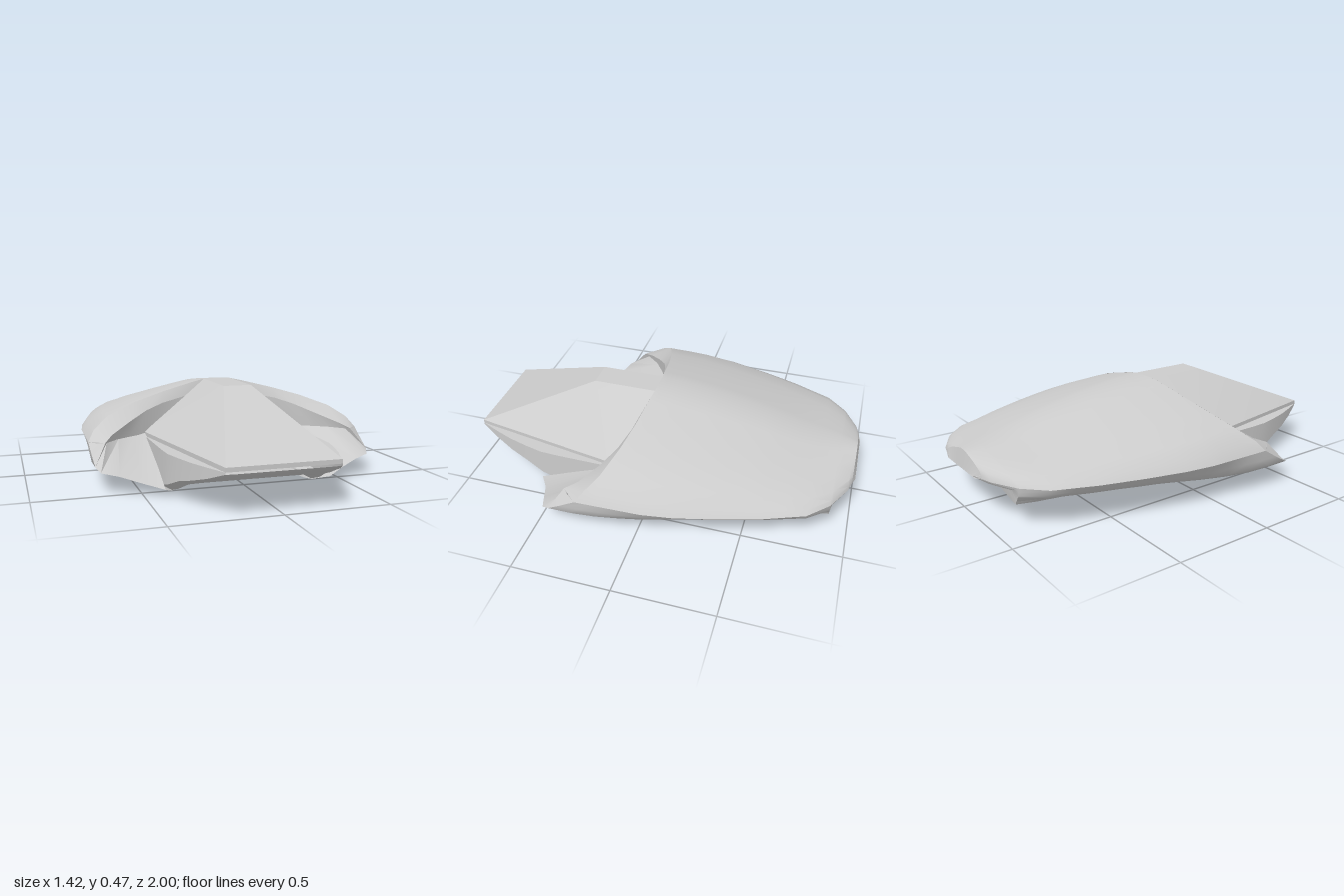
import * as THREE from 'three';
import { toCreasedNormals } from 'three/addons/utils/BufferGeometryUtils.js';
import { ConvexGeometry } from 'three/addons/geometries/ConvexGeometry.js';

const material = new THREE.MeshStandardMaterial({ color: 0xcccccc, side: THREE.DoubleSide });
const { lerp, clamp } = THREE.MathUtils;

// Piecewise-linear lookup in [key, value] pairs with falling keys
function lookup(table, key) {
  if (key >= table[0][0]) return table[0][1];
  for (let i = 1; i < table.length; i++) {
    const [k0, v0] = table[i - 1], [k1, v1] = table[i];
    if (key >= k1) return lerp(v0, v1, (k0 - key) / (k0 - k1));
  }
  return table[table.length - 1][1];
}

// Skin over rows of equally many points
function loft(rows, crease, flip = false) {
  const n = rows[0].length, index = [];
  for (let i = 0; i < rows.length - 1; i++) {
    for (let j = 0; j < n - 1; j++) {
      const a = i * n + j, b = a + 1, c = a + n, d = c + 1;
      if (flip) index.push(a, c, b, b, c, d);
      else index.push(a, b, c, b, d, c);
    }
  }
  const g = new THREE.BufferGeometry();
  g.setAttribute('position', new THREE.Float32BufferAttribute(rows.flat(2), 3));
  g.setIndex(index);
  return toCreasedNormals(g, crease);
}

// Half profile from the left edge to the centre line, continued to the right
const acrossX = (half) => [...half, ...half.slice(0, -1).reverse().map(([x, ...r]) => [-x, ...r])];

// Hull plan and side outline along z
const SEAM = 0.21;
const halfWidth = [[0.27, 0.71], [-0.1, 0.7], [-0.2, 0.68], [-0.4, 0.63], [-0.6, 0.57], [-0.8, 0.49],
  [-0.9, 0.39], [-0.97, 0.26], [-1, 0.15]];
const roofHeight = [[0.07, 0.47], [-0.1, 0.455], [-0.3, 0.425], [-0.5, 0.385], [-0.7, 0.335],
  [-0.8, 0.312], [-0.9, 0.3], [-0.98, 0.29]];
const bellyDepth = [[0.1, 1], [-0.2, 0.81], [-0.5, 0.62], [-0.8, 0.48], [-0.9, 0.43], [-0.91, 0.13], [-1, 0.04]];
const stations = [-0.05, -0.2, -0.3, -0.4, -0.5, -0.6, -0.7, -0.8, -0.9, -0.91, -0.97];

// Profiles: x, y, z of the front edge; the belly adds x of the rounder rear section
const roofProfile = [[0.71, 0.21, 0.28], [0.677, 0.26, 0.24], [0.6, 0.315, 0.18], [0.45, 0.372, 0.13],
  [0.3, 0.415, 0.1], [0.14, 0.455, 0.08], [0.07, 0.47, 0.07], [0, 0.47, 0.07]];
const bellyProfile = [[0.71, 0.21, 0.28, 0.71], [0.705, 0.16, 0.36, 0.67], [0.7, 0.12, 0.43, 0.63],
  [0.68, 0.1, 0.47, 0.59], [0.6, 0.085, 0.5, 0.53], [0.5, 0.055, 0.54, 0.46], [0.41, 0.035, 0.6, 0.4],
  [0.36, 0, 0.5, 0.36], [0.32, 0.01, 0.5, 0.32], [0.23, 0.055, 0.55, 0.23], [0.18, 0.07, 0.6, 0.18],
  [0, 0.07, 0.6, 0]];

function placeRoof([x, y], z) {
  return [x * lookup(halfWidth, z) / 0.71, SEAM + (y - SEAM) * (lookup(roofHeight, z) - SEAM) / 0.26, z];
}

// The keels run straight back while the flanks narrow with the plan
function placeBelly([x, y, , rearX], z) {
  const w = lookup(halfWidth, z), keel = Math.min(0.36, 0.9 * w);
  const ax = lerp(x, rearX, clamp((0.25 - z) / 0.5, 0, 1));
  const px = ax <= 0.36 ? ax * keel / 0.36 : keel + (ax - 0.36) * (w - keel) / 0.35;
  return [px, SEAM + (y - SEAM) * lookup(bellyDepth, z), z];
}

// Rows run from each point's own front edge to common stations towards the tail
function hullRows(profile, place, tailZ) {
  const row = (zOf) => acrossX(profile.map((p) => place(p, zOf(p))));
  const rows = [];
  for (let i = 0; i < 4; i++) rows.push(row((p) => lerp(p[2], stations[0], i / 4)));
  for (const z of [...stations, tailZ]) rows.push(row(() => z));
  return rows;
}

export function createModel() {
  const model = new THREE.Group();
  const add = (name, geometry) => {
    const mesh = new THREE.Mesh(geometry, material);
    mesh.name = name;
    model.add(mesh);
  };

  // Domed upper shell and twin-keeled belly
  const roof = hullRows(roofProfile, placeRoof, -0.985);
  const belly = hullRows(bellyProfile, placeBelly, -1);
  add('upperShell', loft(roof, 0.6));
  add('belly', loft(belly, 0.7, true));

  // Raked tail closing the shell
  const tailTop = roof[roof.length - 1];
  add('tailPlate', loft([tailTop, tailTop.map(([x]) => [x * 0.74, 0.2, -1])], 0.3));

  // Faceted cockpit on a thin sill
  const cockpit = [];
  for (const s of [1, -1]) {
    for (const y of [0.2, 0.22]) {
      for (const [x, z] of [[0.26, 1], [0.41, 0.15], [0.41, 0.07]]) cockpit.push(new THREE.Vector3(s * x, y, z));
    }
    cockpit.push(new THREE.Vector3(s * 0.07, 0.47, 0.4), new THREE.Vector3(s * 0.07, 0.47, 0.07));
  }
  add('cockpit', toCreasedNormals(new ConvexGeometry(cockpit), 0.25));

  // Nose underside: z, half width, floor height, keel height
  const nose = [[1, 0.26, 0.19, 0.19], [0.9, 0.305, 0.14, 0.145], [0.8, 0.345, 0.11, 0.11],
    [0.7, 0.375, 0.09, 0.08], [0.6, 0.4, 0.08, 0.035], [0.5, 0.405, 0.075, 0.003], [0.1, 0.41, 0.075, 0.015]];
  add('noseUnderside', loft(nose.map(([z, w, floor, keel]) => acrossX([
    [0, 0.2, z], [w, 0.2, z], [w, lerp(keel, 0.2, 0.15), z], [w * 0.88, keel, z],
    [w * 0.56, floor, z], [0, floor, z],
  ])), 0.45, true));

  // Intake on each side: rim, back wall and sloping floor
  const rimInner = [[0.64, 0.217, 0.36], [0.6, 0.24, 0.3], [0.5, 0.285, 0.22], [0.4, 0.33, 0.16],
    [0.31, 0.36, 0.13], [0.17, 0.39, 0.1], [0.07, 0.47, 0.07]];
  const wallFoot = [[0.63, 0.21, 0.33], [0.57, 0.21, 0.26], [0.5, 0.21, 0.21], [0.45, 0.21, 0.18],
    [0.4, 0.215, 0.15], [0.3, 0.29, 0.12], [0.07, 0.47, 0.07]];
  const floorBack = [[0.71, 0.21, 0.28], [0.67, 0.21, 0.33], [0.64, 0.217, 0.36], [0.63, 0.21, 0.33],
    [0.56, 0.21, 0.25], [0.48, 0.21, 0.19], [0.4, 0.215, 0.15]];
  const lip = belly[0].slice(0, 7);
  for (const s of [1, -1]) {
    const side = (pts) => pts.map(([x, y, z]) => [s * x, y, z]);
    const name = s > 0 ? 'left' : 'right';
    add(name + 'IntakeRim', loft([side(roofProfile.slice(0, 7)), side(rimInner)], 0.6, s > 0));
    add(name + 'IntakeWall', loft([side(rimInner), side(wallFoot)], 0.6, s > 0));
    add(name + 'IntakeFloor', loft([side(floorBack), side(lip)], 0.6, s > 0));
  }
  return model;
}
